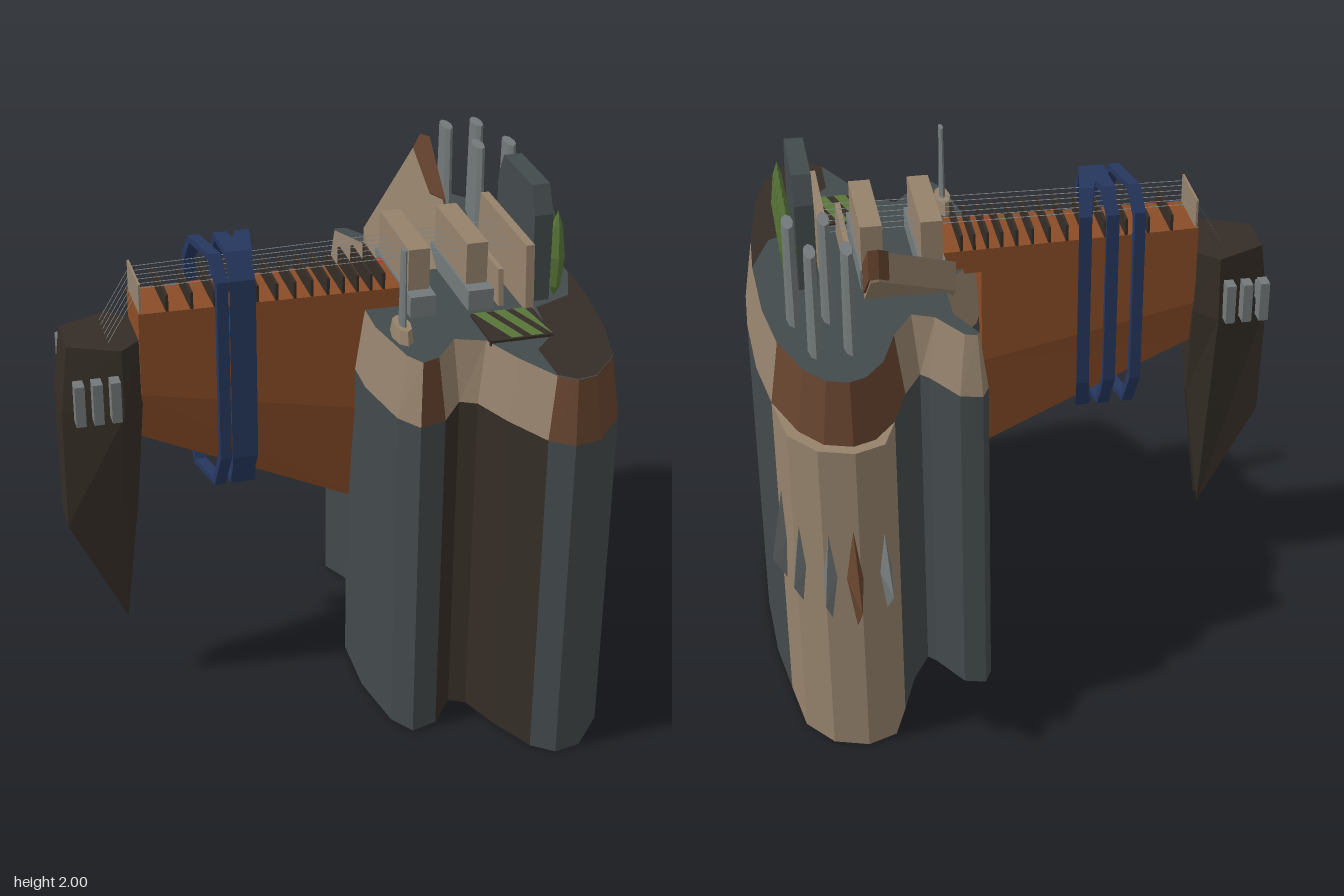
import * as THREE from 'three';

const COLORS = {
  slate: 0x434a4c, dark: 0x352d26, tan: 0x95826c, brown: 0x66442f,
  orange: 0x8a4c27, blue: 0x26375f, grey: 0x73797a, green: 0x587538,
};
const mats = {};
for (const k in COLORS) {
  mats[k] = new THREE.MeshStandardMaterial({ color: COLORS[k], flatShading: true, side: THREE.DoubleSide });
}

// Body outline seen from above, as [x, z]
const OUTLINE = [
  [.085, .4], [.13, .65], [.19, .74], [.29, .71], [.38, .59], [.44, .62], [.5, .77], [.59, .94],
  [.67, 1], [.77, .98], [.89, .84], [.945, .62], [.98, .35], [.99, .13], [.98, -.18], [.945, -.42],
  [.87, -.62], [.79, -.72], [.69, -.75], [.61, -.72], [.53, -.62], [.47, -.45], [.4, -.33], [.37, -.36],
  [.28, -.5], [.2, -.52], [.17, -.46], [.24, -.32], [.24, -.18], [.22, -.1], [.14, -.01], [.09, .14],
];
const BODY_TOP = 1.56, BEVEL_Y = 1.32, MID_Z = .12;

// Moves an outline along its corner normals, outward when d > 0
function offset(pts, d) {
  return pts.map((p, i) => {
    const a = pts[(i + pts.length - 1) % pts.length], b = pts[(i + 1) % pts.length];
    const dx = b[0] - a[0], dz = b[1] - a[1], l = Math.hypot(dx, dz);
    return [p[0] - dz / l * d, p[1] + dx / l * d];
  });
}

function fromTriangles(pos) {
  const g = new THREE.BufferGeometry();
  g.setAttribute('position', new THREE.Float32BufferAttribute(pos, 3));
  g.computeVertexNormals();
  return g;
}

const quad = (out, a, b, c, d) => out.push(...a, ...b, ...c, ...a, ...c, ...d);

// Solid through a stack of rings of [x, y, z] points
function loft(rings) {
  const out = [], n = rings[0].length, last = rings[rings.length - 1];
  for (let r = 0; r + 1 < rings.length; r++) {
    for (let i = 0; i < n; i++) {
      const j = (i + 1) % n;
      quad(out, rings[r][i], rings[r][j], rings[r + 1][j], rings[r + 1][i]);
    }
  }
  for (let i = 1; i + 1 < n; i++) {
    out.push(...rings[0][0], ...rings[0][i + 1], ...rings[0][i]);
    out.push(...last[0], ...last[i], ...last[i + 1]);
  }
  return fromTriangles(out);
}

// Flat polygon of [x, z] points facing up or down
function sheet(pts, y, up = true) {
  const s = new THREE.Shape(pts.map(([x, z]) => new THREE.Vector2(x, up ? -z : z)));
  return new THREE.ShapeGeometry(s).rotateX(up ? -Math.PI / 2 : Math.PI / 2).translate(0, y, 0);
}

export function createModel() {
  const root = new THREE.Group();
  const add = (name, geo, mat, parent = root) => {
    const m = new THREE.Mesh(geo, mats[mat]);
    m.name = name;
    parent.add(m);
    return m;
  };
  const group = (name) => {
    const g = new THREE.Group();
    g.name = name;
    root.add(g);
    return g;
  };
  // Box given by its limits
  const box = (name, mat, x0, x1, y0, y1, z0, z1, parent) => add(name,
    new THREE.BoxGeometry(x1 - x0, y1 - y0, z1 - z0).translate((x0 + x1) / 2, (y0 + y1) / 2, (z0 + z1) / 2), mat, parent);

  // Body walls and bevel, gathered by colour
  const body = group('body'), inner = offset(OUTLINE, -.035);
  const walls = {}, bevels = {};
  OUTLINE.forEach((p, i) => {
    const j = (i + 1) % OUTLINE.length, q = OUTLINE[j];
    const x = (p[0] + q[0]) / 2, z = (p[1] + q[1]) / 2;
    const dark = (z > .5 && x > .3 && x < .61) || (x > .88 && z > .13);
    const rust = (z > .6 && x > .19 && x < .29) || (z > .88 && x > .6) || (z < -.41 && x > .45);
    const at = (o, k, y) => [o[k][0], y, o[k][1]];
    quad(walls[dark ? 'dark' : 'slate'] ??= [], at(OUTLINE, i, 0), at(OUTLINE, j, 0), at(OUTLINE, j, BEVEL_Y), at(OUTLINE, i, BEVEL_Y));
    quad(bevels[rust ? 'brown' : 'tan'] ??= [], at(OUTLINE, i, BEVEL_Y), at(OUTLINE, j, BEVEL_Y), at(inner, j, BODY_TOP), at(inner, i, BODY_TOP));
  });
  for (const k in walls) add('bodyWall', fromTriangles(walls[k]), k, body);
  for (const k in bevels) add('bodyBevel', fromTriangles(bevels[k]), k, body);
  add('bodyTop', sheet(inner, BODY_TOP), 'slate', body);
  add('bodyBottom', sheet(OUTLINE, 0, false), 'slate', body);
  const patch = [...inner.slice(7, 14), [.88, .33], [.73, .4], [.7, .63], [.62, .72]];
  add('topDarkPatch', sheet(patch, BODY_TOP + .004), 'dark', body);

  // Armour band around the rear end
  const wide = offset(OUTLINE, .045), bandOut = [];
  wide[15] = OUTLINE[15];
  wide[20] = OUTLINE[20];
  for (let i = 15; i < 20; i++) {
    const [a, b, c, d] = [wide[i], wide[i + 1], OUTLINE[i + 1], OUTLINE[i]];
    const P = (p, y) => [p[0], y, p[1]];
    quad(bandOut, P(a, 0), P(b, 0), P(b, BEVEL_Y), P(a, BEVEL_Y));
    quad(bandOut, P(a, BEVEL_Y), P(b, BEVEL_Y), P(c, BEVEL_Y), P(d, BEVEL_Y));
    quad(bandOut, P(d, 0), P(c, 0), P(b, 0), P(a, 0));
  }
  add('rearBand', fromTriangles(bandOut), 'tan', body);

  // Diamond spikes: base x, z and tip x, z
  const spikes = group('spikes');
  [[.6, -.71, .59, -.92], [.71, -.78, .71, -1], [.79, -.73, .83, -.93], [.88, -.62, .93, -.8], [.93, -.46, .99, -.62]]
    .forEach(([bx, bz, tx, tz], i) => {
      const len = Math.hypot(tx - bx, tz - bz);
      const g = new THREE.ConeGeometry(1, 1, 4).translate(0, .5, 0).rotateX(Math.PI / 2).scale(.03, .22, len);
      const m = add('spike', g, i === 1 ? 'brown' : 'grey', spikes);
      m.position.set(bx, .78, bz);
      m.rotation.y = Math.atan2(tx - bx, tz - bz);
    });

  // Neck with a keeled underside
  const neckRing = (x, w, crease, bottom) => [
    [-w, 1.6], [w, 1.6], [w, crease], [.05, bottom], [-.05, bottom], [-w, crease],
  ].map(([z, y]) => [x, y, MID_Z + z]);
  add('neck', loft([neckRing(-.71, .11, 1.31, 1.11), neckRing(.12, .13, 1.15, .72)]), 'orange');
  const boardRing = (x, w) => [[-w, 1.54], [-w, 1.635], [w, 1.635], [w, 1.54]].map(([z, y]) => [x, y, MID_Z + z]);
  add('fretboard', loft([boardRing(-.71, .112), boardRing(.26, .135)]), 'orange');
  const frets = group('frets');
  for (let i = 1; i <= 13; i++) {
    const x = -.7 + 1.69 * (1 - 2 ** (-i / 12)), w = .112 + (x + .7) * .023;
    box('fret', 'dark', x - .005, x + .005, 1.62, 1.7, MID_Z - w, MID_Z + w, frets);
  }
  box('nut', 'tan', -.706, -.698, 1.53, 1.75, MID_Z - .11, MID_Z + .11);

  // Strings as thin flat ribbons with a sloping end at the head
  const strings = group('strings');
  for (let i = 0; i < 6; i++) {
    const z0 = .025 + i * .038, z1 = .01 + i * .044, h = .003, out = [];
    quad(out, [-.7, 1.73, z0 - h], [-.7, 1.73, z0 + h], [.7, 1.75, z1 + h], [.7, 1.75, z1 - h]);
    quad(out, [-.82, 1.53, z0 - h], [-.82, 1.53, z0 + h], [-.7, 1.73, z0 + h], [-.7, 1.73, z0 - h]);
    add('string', fromTriangles(out), 'grey', strings);
  }

  // Headstock: deep blade narrowing to a low edge
  const head = [[-1, .02], [-1, .21], [-.785, .3], [-.705, .22], [-.705, .01], [-.785, -.07]];
  const lows = [.77, .77, .31, .85, .85, .31];
  const narrow = (z, f) => MID_Z + (z - MID_Z) * f;
  add('headstock', loft([
    head.map(([x, z], i) => [x > -.75 ? -.72 : x, lows[i], narrow(z, x < -.9 ? .7 : .15)]),
    head.map(([x, z]) => [x, 1.27, z]),
    head.map(([x, z]) => [x < -.9 ? -.97 : x, 1.525, narrow(z, .92)]),
  ]), 'dark');
  const tuners = group('tuners');
  for (const x of [-.95, -.885, -.82]) {
    for (const s of [-1, 1]) {
      const at = (d) => MID_Z + s * d;
      box('tunerKnob', 'grey', x - .018, x + .018, 1.275, 1.435, ...[at(.175), at(.23)].sort((a, b) => a - b), tuners);
      box('tunerStem', 'grey', x - .007, x + .007, 1.32, 1.39, ...[at(.1), at(.18)].sort((a, b) => a - b), tuners);
    }
  }

  // Cloth straps looped around the neck, slanted from back to front
  const straps = group('straps');
  const loop = (g) => [[-.15, 1.74], [-.09, 1.83], [.09, 1.83], [.15, 1.74], [.15, 1.02], [.09, .88], [-.09, .88], [-.15, 1.02]]
    .map(([z, y]) => new THREE.Vector2(z * (1 - g * 5), y - Math.sign(y - 1.35) * g));
  for (const [back, front] of [[-.475, -.41], [-.375, -.31], [-.265, -.32], [-.37, -.36], [-.27, -.365]]) {
    const s = new THREE.Shape(loop(0));
    s.holes.push(new THREE.Path(loop(.025)));
    const g = new THREE.ExtrudeGeometry(s, { depth: .042, bevelEnabled: false }).rotateY(-Math.PI / 2);
    const p = g.attributes.position;
    for (let i = 0; i < p.count; i++) {
      const t = (p.getZ(i) + .15) / .3;
      p.setX(i, p.getX(i) + .021 + back + (front - back) * t);
    }
    g.translate(0, 0, MID_Z);
    g.computeVertexNormals();
    add('strap', g, 'blue', straps);
  }

  // Raised guard plate climbing toward the back
  const plate = (pts, top, bottom) => loft([bottom, top].map((o) => pts.map(([x, z]) => [x, 1.56 - .8 * (z + .02) + o, z])));
  add('guardPlate', plate([[.24, -.18], [.24, -.02], [.57, -.02], [.58, -.46], [.55, -.47], [.5, -.42]], 0, -.12), 'tan');
  add('guardPlateEdge', plate([[.51, -.43], [.53, -.27], [.585, -.24], [.585, -.46], [.55, -.472]], .006, -.11), 'brown');

  // Pickups and bridge bars
  for (const x of [.31, .53]) {
    box('pickup', 'tan', x - .04, x + .04, 1.55, 1.8, -.07, .3);
    box('pickupMount', 'grey', x - .048, x + .048, 1.55, 1.64, -.1, .36);
  }
  const bar = (x, w, y, z0, z1) => add('bridgeBar', loft([[1.55, 0], [y, .02]].map(([h, t]) =>
    [[x - w, z0 + t], [x - w, z1 - t], [x + w, z1 - t], [x + w, z0 + t]].map(([a, b]) => [a, h, b]))), 'tan');
  bar(.612, .01, 1.7, -.11, .35);
  bar(.7, .016, 1.81, -.14, .41);

  // Tailpiece slab with green spindles
  const tail = new THREE.Shape([[-.2, 1.55], [.2, 1.55], [.2, 1.9], [.15, 2], [-.15, 2], [-.2, 1.9]].map((p) => new THREE.Vector2(...p)));
  add('tailpiece', new THREE.ExtrudeGeometry(tail, { depth: .07, bevelEnabled: false })
    .rotateY(Math.PI / 2).translate(.73, 0, .14), 'slate');
  const spindle = [[0, 1.56], [.022, 1.6], [.034, 1.72], [.02, 1.84], [0, 1.9]].map((p) => new THREE.Vector2(...p));
  for (let i = 0; i < 6; i++) {
    add('spindle', new THREE.LatheGeometry(spindle, 6).translate(.83, 0, -.04 + i * .07), 'green');
  }

  // Flat control posts and the selector switch
  const post = (name, mat, x, z, rx, rz, y0, y1, taper) => add(name,
    new THREE.CylinderGeometry(taper, 1, y1 - y0, 8).scale(rx, 1, rz).translate(x, (y0 + y1) / 2, z), mat);
  for (const [x, z] of [[.66, -.485], [.785, -.485], [.715, -.26], [.84, -.26]]) {
    post('controlPost', 'grey', x, z, .025, .065, 1.55, 1.95, .85);
  }
  post('switchBase', 'tan', .19, .49, .038, .088, 1.55, 1.61, .8);
  post('switchLever', 'grey', .19, .495, .012, .032, 1.6, 1.9, .75);

  // Striped panel
  box('stripePanel', 'dark', .475, .71, 1.55, 1.57, .405, .63);
  for (const x of [.485, .56, .635]) {
    const e = Math.min(x + .115, .708);
    add('stripe', sheet([[x, .407], [x + .07, .628], [e, .628], [x + .045, .407]], 1.574), 'green');
  }
  return root;
}
